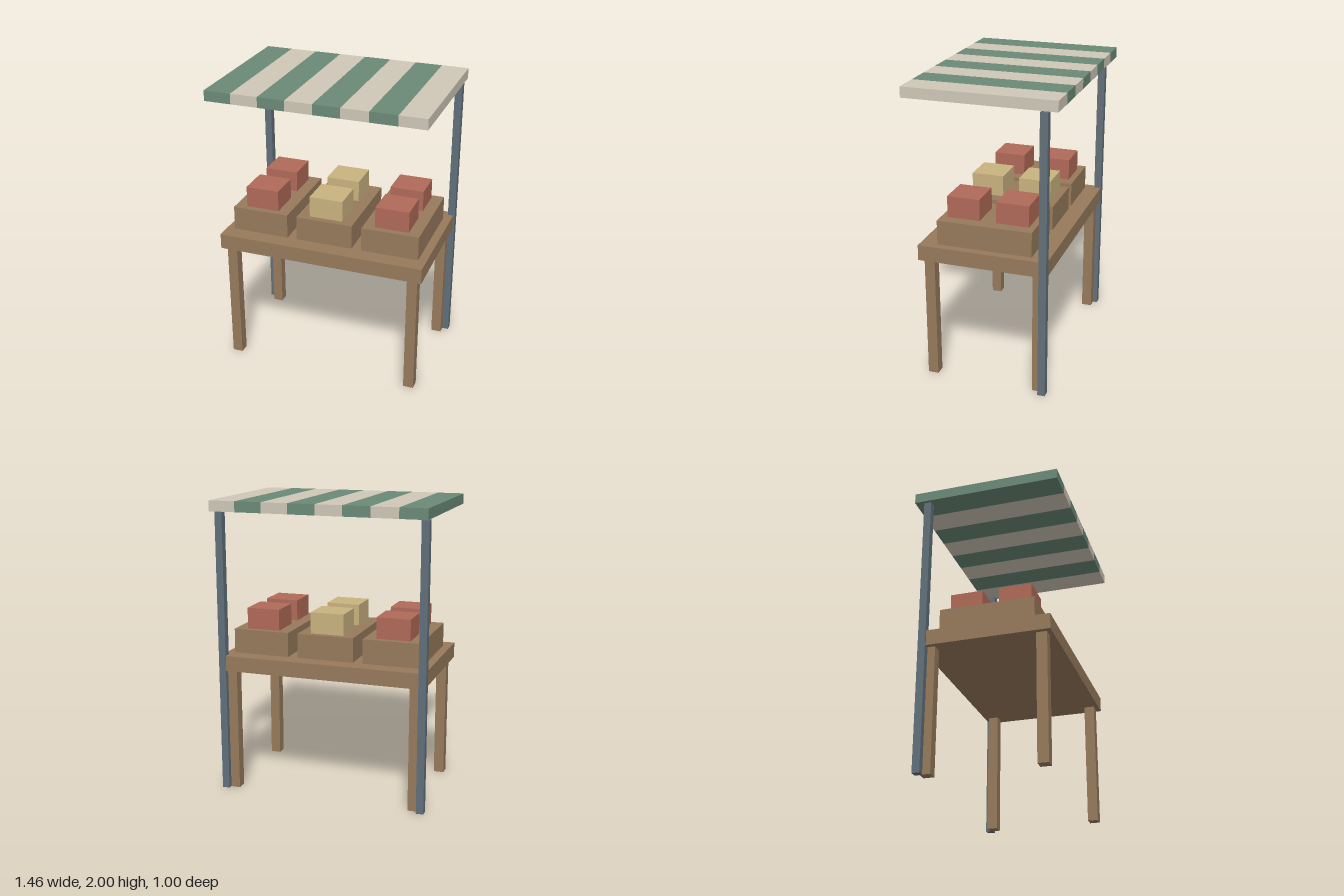
import * as THREE from 'three';

const material = (color) => new THREE.MeshStandardMaterial({ color, flatShading: true });

export function createModel() {
  const stall = new THREE.Group();
  stall.name = 'marketStall';

  const wood = material(0x967a5c);
  const steel = material(0x62707a);
  const red = material(0xb06a58);
  const yellow = material(0xc9b27f);
  const green = material(0x6b8a78);
  const cream = material(0xcfc8b8);

  // Box standing on height y, centred on x and z
  function addBox(name, mat, [w, h, d], [x, y, z]) {
    const mesh = new THREE.Mesh(new THREE.BoxGeometry(w, h, d), mat);
    mesh.name = name;
    mesh.position.set(x, y + h / 2, z);
    stall.add(mesh);
  }

  // Table with four legs, and two canopy poles at the back
  addBox('tableTop', wood, [1.416, 0.104, 0.866], [0, 0.847, 0]);
  for (const [side, s] of [['left', 1], ['right', -1]]) {
    addBox(`${side}FrontLeg`, wood, [0.07, 0.847, 0.07], [s * 0.64, 0, 0.368]);
    addBox(`${side}BackLeg`, wood, [0.07, 0.847, 0.07], [s * 0.64, 0, -0.368]);
    addBox(`${side}Pole`, steel, [0.05, 1.92, 0.05], [s * 0.695, 0, -0.41]);
  }

  // Three crates, each with a front and a back block of goods
  for (const i of [-1, 0, 1]) {
    const x = i * 0.457;
    addBox('crate', wood, [0.39, 0.165, 0.638], [x, 0.951, 0]);
    for (const z of [0.166, -0.166]) {
      addBox('goods', i === 0 ? yellow : red, [0.23, 0.144, 0.22], [x, 1.116, z]);
    }
  }

  // Striped canopy
  const stripes = 8;
  const width = 1.456 / stripes;
  for (let i = 0; i < stripes; i++) {
    const x = (i - (stripes - 1) / 2) * width;
    addBox('canopyStripe', i % 2 ? cream : green, [width, 0.07, 1], [x, 1.93, 0]);
  }

  return stall;
}
